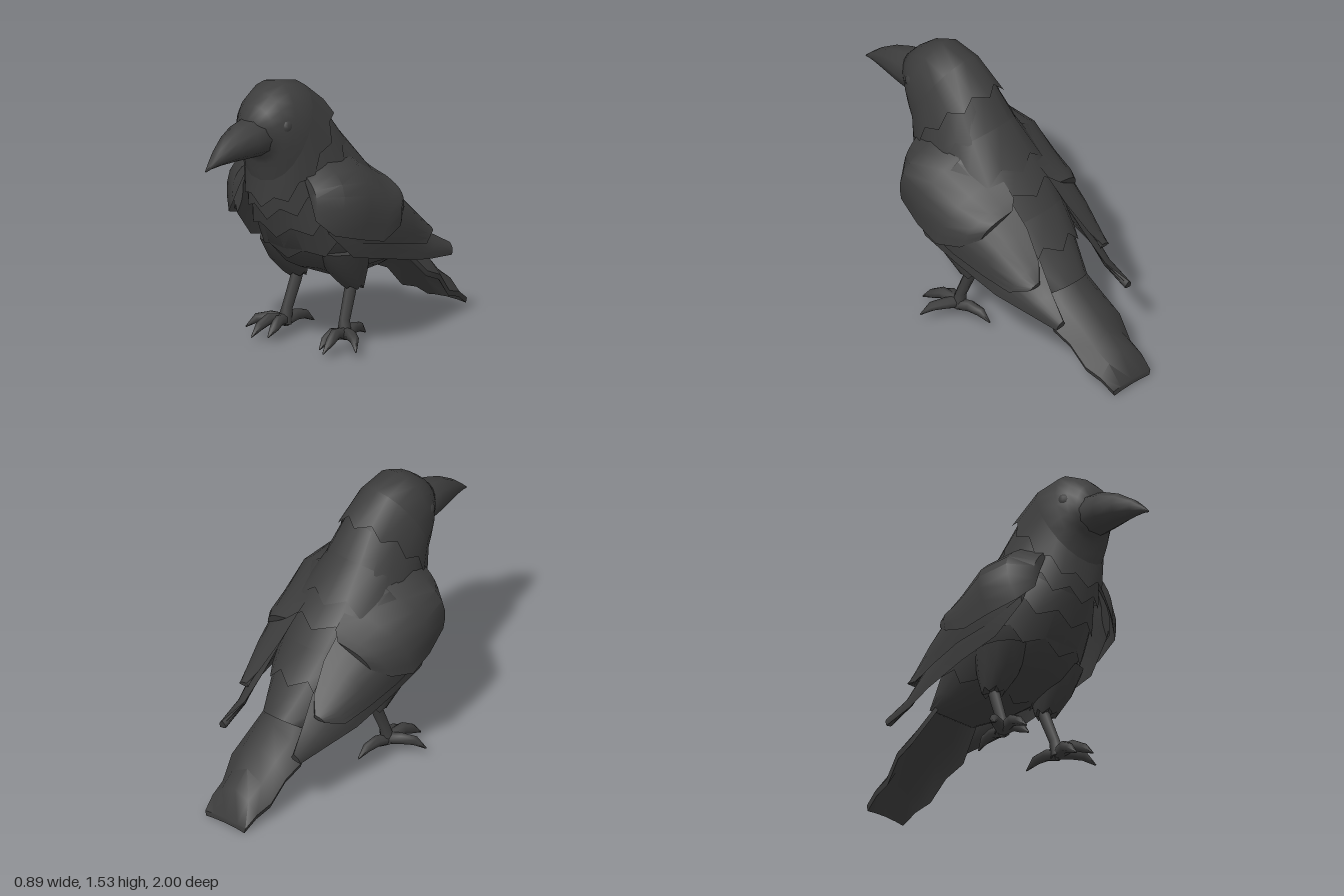
import * as THREE from 'three';
import { toCreasedNormals } from 'three/addons/utils/BufferGeometryUtils.js';

const V = (x, y, z) => new THREE.Vector3(x, y, z);

// Skin a list of closed rings, optionally closing both ends
function loft(rings, caps = true, crease = 0.8) {
  const n = rings[0].length, pos = [], idx = [];
  rings.forEach(r => r.forEach(p => pos.push(p.x, p.y, p.z)));
  for (let k = 0; k < rings.length - 1; k++) {
    for (let i = 0; i < n; i++) {
      const a = k * n + i, b = k * n + (i + 1) % n;
      idx.push(a, b, a + n, b, b + n, a + n);
    }
  }
  if (caps) {
    [0, rings.length - 1].forEach((k, end) => {
      const c = rings[k].reduce((s, p) => s.add(p), V(0, 0, 0)).divideScalar(n);
      const ci = pos.length / 3;
      pos.push(c.x, c.y, c.z);
      for (let i = 0; i < n; i++) {
        const a = k * n + i, b = k * n + (i + 1) % n;
        if (end) idx.push(ci, a, b); else idx.push(ci, b, a);
      }
    });
  }
  const g = new THREE.BufferGeometry();
  g.setAttribute('position', new THREE.Float32BufferAttribute(pos, 3));
  g.setIndex(idx);
  return toCreasedNormals(g, crease);
}

// Oval ring spanning an upper and a lower profile point
function oval([zt, yt, zb, yb, w], n = 20) {
  return Array.from({ length: n }, (_, i) => {
    const a = i / n * Math.PI * 2, s = (1 + Math.sin(a)) / 2;
    const c = Math.cos(a);
    return V(w * Math.sign(c) * Math.abs(c) ** 0.9, yb + (yt - yb) * s, zb + (zt - zb) * s);
  });
}

// Pull every other point of the last ring outward into feather tips
function jagged(rings, length) {
  const last = rings[rings.length - 1], prev = rings[rings.length - 2];
  last.forEach((p, i) => {
    const d = p.clone().sub(prev[i]).normalize();
    p.addScaledVector(d, i % 2 ? length : -length * 0.3);
  });
  return rings;
}

// Curved feather layer: each row is [upper xyz, lower xyz, bulge]
function wingLayer(rows, side, thickness = 0.045) {
  const n = 7;
  return loft(rows.map(([a, b, bulge]) => {
    const edge = (t, h) => {
      const s = Math.sin(t * Math.PI) * h;
      const p = V(...a).lerp(V(...b), t);
      return V(side * (p.x + s), p.y + s * 0.3, p.z);
    };
    const ring = [];
    for (let i = 0; i <= n; i++) ring.push(edge(i / n, bulge));
    for (let i = n - 1; i > 0; i--) ring.push(edge(i / n, bulge - thickness));
    return ring;
  }));
}

// Tapered limb through points [x, y, z, radius]
function limb(points, side, n = 7) {
  const c = points.map(p => V(side * p[0], p[1], p[2]));
  return loft(points.map((p, k) => {
    const d = c[Math.min(k + 1, c.length - 1)].clone().sub(c[Math.max(k - 1, 0)]).normalize();
    const u = d.clone().cross(Math.abs(d.y) > 0.8 ? V(0, 0, 1) : V(0, 1, 0)).normalize();
    const v = d.clone().cross(u);
    return Array.from({ length: n }, (_, i) => {
      const a = i / n * Math.PI * 2;
      return c[k].clone().addScaledVector(u, p[3] * Math.cos(a)).addScaledVector(v, p[3] * Math.sin(a));
    });
  }), true, 1.1);
}

export function createModel() {
  const bird = new THREE.Group();
  bird.name = 'bird';
  const plumage = new THREE.MeshStandardMaterial({ color: 0x3d3d3d, side: THREE.DoubleSide });
  plumage.name = 'charcoal';
  const add = (name, geo) => {
    const m = new THREE.Mesh(geo, plumage);
    m.name = name;
    bird.add(m);
    return m;
  };

  // Head and body: [top z, top y, bottom z, bottom y, half width]
  add('headAndBody', loft([
    [0.66, 1.36, 0.59, 1.15, 0.1], [0.6, 1.43, 0.57, 1.13, 0.135],
    [0.53, 1.49, 0.56, 1.1, 0.165], [0.43, 1.535, 0.55, 1.05, 0.19],
    [0.26, 1.5, 0.54, 1.0, 0.21], [0.13, 1.37, 0.52, 0.93, 0.22],
    [0.0, 1.2, 0.47, 0.82, 0.255], [-0.12, 1.05, 0.42, 0.72, 0.31],
    [-0.22, 0.93, 0.35, 0.58, 0.33], [-0.33, 0.8, 0.22, 0.45, 0.31],
    [-0.43, 0.66, 0.03, 0.375, 0.26], [-0.52, 0.55, -0.17, 0.35, 0.2],
    [-0.58, 0.47, -0.42, 0.37, 0.14],
  ].map(s => oval(s)), true, 1.2));

  // Overlapping feather collars
  [
    ['napeFeathers', [0.26, 1.5, 0.54, 1.0, 0.21], [0.1, 1.38, 0.54, 0.89, 0.235], 0.04],
    ['throatFeathers', [0.13, 1.37, 0.52, 0.95, 0.22], [0.01, 1.21, 0.5, 0.82, 0.262], 0.05],
    ['mantleFeathers', [0.0, 1.2, 0.47, 0.82, 0.255], [-0.15, 1.03, 0.43, 0.7, 0.315], 0.05],
    ['breastFeathers', [-0.12, 1.05, 0.42, 0.72, 0.31], [-0.25, 0.92, 0.34, 0.56, 0.338], 0.05],
    ['rumpFeathers', [-0.33, 0.8, 0.22, 0.45, 0.31], [-0.45, 0.66, 0.02, 0.37, 0.268], 0.05],
  ].forEach(([name, a, b, len]) => add(name, loft(jagged([oval(a), oval(b)], len), false)));

  // Hooked beak
  add('beak', loft([
    [0.62, 1.37, 0.57, 1.15, 0.125], [0.7, 1.355, 0.67, 1.155, 0.11],
    [0.8, 1.315, 0.79, 1.16, 0.08], [0.9, 1.25, 0.89, 1.16, 0.045],
    [0.96, 1.195, 0.96, 1.155, 0.02], [1.0, 1.155, 1.0, 1.145, 0.004],
  ].map(s => oval(s, 10)), true, 1.0));

  // Arched tail: [z, y, half width, droop]
  add('tail', loft([
    [-0.38, 0.62, 0.13, 0.1], [-0.6, 0.44, 0.2, 0.16], [-0.72, 0.35, 0.19, 0.12],
    [-0.82, 0.265, 0.17, 0.15], [-0.92, 0.185, 0.155, 0.1], [-1, 0.04, 0.14, 0.01],
  ].map(([z, y, w, droop]) => {
    const top = [-1, -0.6, 0, 0.6, 1].map(t => V(t * w, y - droop * t * t, z));
    const under = [1, 0.6, 0, -0.6, -1].map(t => V(t * w * 0.95, y - 0.03 - droop * t * t, z));
    return [...top, ...under];
  })));

  for (const side of [1, -1]) {
    const tag = side > 0 ? 'left' : 'right';

    // Wing in three overlapping layers
    add(tag + 'FlightFeathers', wingLayer([
      [[0.28, 0.9, 0.36], [0.32, 0.72, 0.36], 0.03],
      [[0.2, 1.0, 0.0], [0.36, 0.56, 0.2], 0.1],
      [[0.16, 0.83, -0.28], [0.365, 0.5, -0.05], 0.09],
      [[0.17, 0.64, -0.48], [0.35, 0.43, -0.32], 0.05],
      [[0.2, 0.5, -0.6], [0.31, 0.39, -0.5], 0.03],
      [[0.25, 0.42, -0.73], [0.28, 0.36, -0.71], 0.01],
    ], side));
    add(tag + 'WingCoverts', wingLayer([
      [[0.24, 1.0, 0.36], [0.34, 0.74, 0.36], 0.04],
      [[0.16, 1.11, 0.05], [0.385, 0.63, 0.15], 0.13],
      [[0.14, 0.96, -0.16], [0.4, 0.59, -0.05], 0.11],
      [[0.15, 0.79, -0.36], [0.38, 0.54, -0.25], 0.08],
      [[0.19, 0.65, -0.49], [0.35, 0.5, -0.42], 0.04],
      [[0.24, 0.57, -0.54], [0.3, 0.54, -0.53], 0.01],
    ], side));
    add(tag + 'ShoulderFeathers', wingLayer([
      [[0.17, 1.06, 0.41], [0.29, 0.8, 0.43], 0.05],
      [[0.15, 1.13, 0.26], [0.37, 0.72, 0.37], 0.13],
      [[0.13, 1.12, 0.06], [0.42, 0.67, 0.2], 0.14],
      [[0.12, 1.01, -0.12], [0.44, 0.63, 0.04], 0.11],
      [[0.13, 0.92, -0.24], [0.42, 0.68, -0.12], 0.08],
      [[0.18, 0.88, -0.28], [0.36, 0.75, -0.22], 0.04],
    ], side));

    // Feathered thigh with ragged cuff
    const thigh = [[0.56, 0.09, 0.13, 0.17], [0.44, 0.06, 0.1, 0.13], [0.345, 0.02, 0.065, 0.065]]
      .map(([y, z, rx, rz]) => Array.from({ length: 12 }, (_, i) => {
        const a = i / 12 * Math.PI * 2;
        return V(side * 0.2 + rx * Math.cos(a), y, z + rz * Math.sin(a));
      }));
    add(tag + 'Thigh', loft(jagged(thigh, 0.025)));

    // Shank and four clawed toes
    add(tag + 'Leg', limb([
      [0.185, 0.4, 0.0, 0.035], [0.19, 0.3, 0.03, 0.033],
      [0.2, 0.16, 0.085, 0.03], [0.21, 0.07, 0.1, 0.042],
    ], side));
    [
      [[0.21, 0.09, 0.1], [0.23, 0.11, 0.2], [0.245, 0.08, 0.26], [0.25, 0.03, 0.325]],
      [[0.21, 0.09, 0.1], [0.28, 0.1, 0.13], [0.34, 0.09, 0.17], [0.385, 0.04, 0.21]],
      [[0.21, 0.09, 0.1], [0.19, 0.1, 0.17], [0.18, 0.07, 0.22], [0.18, 0.03, 0.27]],
      [[0.21, 0.08, 0.1], [0.2, 0.1, 0.02], [0.19, 0.09, -0.05], [0.18, 0.045, -0.11]],
    ].forEach((path, i) => add(`${tag}Toe${i + 1}`,
      limb(path.map((p, k) => [...p, [0.034, 0.032, 0.026, 0.004][k]]), side)));

    // Eye
    const eye = add(tag + 'Eye', new THREE.SphereGeometry(0.043, 12, 8));
    eye.scale.x = 0.7;
    eye.position.set(side * 0.152, 1.32, 0.505);
  }
  return bird;
}
